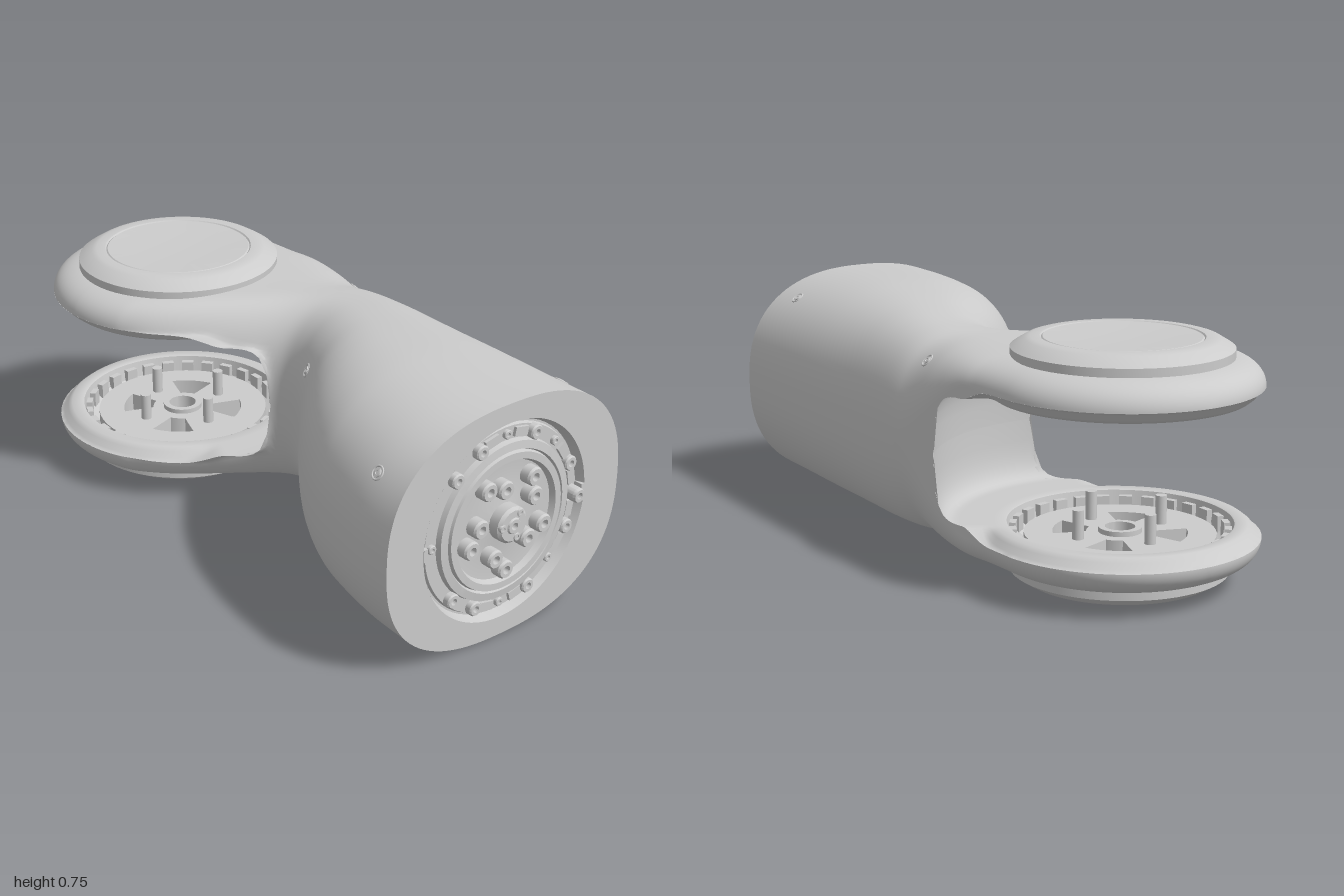
import * as THREE from 'three';
import { mergeGeometries, mergeVertices, toCreasedNormals } from 'three/addons/utils/BufferGeometryUtils.js';

const MID = 0.372, PX = -0.03, PZ = -0.585, R = 0.415, FRONT = 0.965, LIP = 0.19;
const grey = new THREE.MeshStandardMaterial({ color: 0xcccccc });
const shellGrey = new THREE.MeshStandardMaterial({ color: 0xcccccc, side: THREE.DoubleSide });
const { lerp, smoothstep, clamp } = THREE.MathUtils;

// Smooth curve through [z, value] points, z rising
function track(pts) {
  const slope = i => {
    const a = pts[Math.max(i - 1, 0)], b = pts[Math.min(i + 1, pts.length - 1)];
    return (b[1] - a[1]) / (b[0] - a[0]);
  };
  return z => {
    let i = 0;
    while (i < pts.length - 2 && z > pts[i + 1][0]) i++;
    const [z0, v0] = pts[i], [z1, v1] = pts[i + 1], w = z1 - z0;
    const t = clamp((z - z0) / w, 0, 1), t2 = t * t, t3 = t2 * t;
    return v0 * (2 * t3 - 3 * t2 + 1) + v1 * (3 * t2 - 2 * t3)
      + slope(i) * w * (t3 - 2 * t2 + t) + slope(i + 1) * w * (t3 - t2);
  };
}
const leftSide = track([[-0.4, -0.402], [-0.3, -0.335], [-0.2, -0.24], [-0.1, -0.135], [-0.04, -0.08], [0, -0.062],
  [0.05, -0.066], [0.1, -0.085], [0.2, -0.145], [0.3, -0.225], [0.4, -0.295], [0.5, -0.35], [0.6, -0.39], [0.8, -0.435], [FRONT, -0.45]]);
const rightSide = track([[PZ, 0.385], [-0.45, 0.393], [-0.4, 0.401], [-0.3, 0.422], [-0.2, 0.436], [0, 0.441], [FRONT, 0.447]]);
const height = track([[PZ, 0.315], [-0.15, 0.316], [0, 0.325], [0.2, 0.345], [0.4, 0.362], [0.6, 0.372], [FRONT, 0.372]]);
const xMin = z => z < -0.4 ? PX - circleHalf(z) : leftSide(z);
const xMax = z => z < PZ ? PX + circleHalf(z) : rightSide(z);
const circleHalf = z => Math.sqrt(Math.max(R * R - (z - PZ) ** 2, 0));
// How far the section has turned from forearm to prong
const prong = z => 1 - smoothstep(z, -0.42, -0.06);

// Half height of the fork slot at distance d from the pivot, and of its rim
const slot = d => LIP * Math.cbrt(1 - clamp((d - 0.475) / 0.075, 0, 1) ** 3);
const rim = d => slot(d) * (1 + 0.19 * smoothstep(d, 0.375, R) * (1 - smoothstep(d, 0.42, 0.47)));

// Upper outer surface height at x, z
function outerY(x, z) {
  const a = xMin(z), b = xMax(z), p = prong(z), L = 0.226 * p, d = Math.hypot(x - PX, z - PZ);
  const q = z < PZ ? d / R : Math.abs(x - (a + b) / 2) / Math.max((b - a) / 2, 1e-6);
  const f = (1 - Math.min(q, 1) ** lerp(2.45, 7, p)) ** lerp(1 / 2.45, 0.5, p);
  return Math.max(L + (height(z) - L) * f, rim(d));
}

// Surface from a grid of points
function grid(rows, cols, point, flip = false) {
  const pos = [], idx = [], w = cols + 1;
  for (let i = 0; i <= rows; i++) for (let j = 0; j <= cols; j++) pos.push(...point(i, j));
  for (let i = 0; i < rows; i++) for (let j = 0; j < cols; j++) {
    const a = i * w + j, b = a + w, c = b + 1, d = a + 1;
    idx.push(...(flip ? [a, c, b, a, d, c] : [a, b, c, a, c, d]));
  }
  const g = new THREE.BufferGeometry();
  g.setAttribute('position', new THREE.Float32BufferAttribute(pos, 3));
  g.setIndex(idx);
  return g;
}

function add(parent, name, geometry, material = grey, x = 0, y = 0, z = 0) {
  const m = new THREE.Mesh(geometry, material);
  m.name = name;
  m.position.set(x, y, z);
  parent.add(m);
  return m;
}

// Outer skin, upper (s = 1) or lower (s = -1) half
function outerHalf(s) {
  const N = 48, body = 140, end = 24;
  return grid(body + end, N + 2, (i, j) => {
    const z = i <= body ? lerp(FRONT, PZ, i / body) : PZ - R * Math.sin((i - body) / end * Math.PI / 2);
    const edge = j === 0 || j === N + 2;
    const c = Math.cos(clamp(j - 1, 0, N) / N * Math.PI);
    const u = Math.sign(c) * Math.abs(c) ** (2 / lerp(2.45, 3.6, prong(z)));
    const a = xMin(z), b = xMax(z), x = (a + b) / 2 + u * (b - a) / 2;
    return [x, s * (edge ? rim(Math.hypot(x - PX, z - PZ)) : outerY(x, z)), z];
  }, s < 0);
}

// Inner face of a prong: dished recess, flat lip, then the rounded slot wall
function innerHalf(s) {
  const stations = [[0, 0.29], [0.24, 0.29], [0.265, 0.27], [0.30, 0.262], [0.325, 0.245], [0.335, LIP + 0.002], [0.34, LIP], [0.375], [0.39], [0.403], [R]];
  for (let k = 0; k <= 9; k++) stations.push([0.475 + 0.075 * Math.sin(k / 9 * Math.PI / 2)]);
  const N = 200, reach = [];
  for (let j = 0; j <= N; j++) {
    const a = j / N * Math.PI * 2;
    let r = 0.4;
    for (; r < 0.56; r += 0.0005) {
      const x = PX + r * Math.cos(a), z = PZ + r * Math.sin(a);
      if (z < PZ - R || x < xMin(z) || x > xMax(z)) break;
    }
    reach.push(r);
  }
  const g = grid(stations.length - 1, N, (i, j) => {
    const a = j / N * Math.PI * 2, [d, y] = stations[i], r = Math.min(d, reach[j]);
    // The rounded lip follows the open edge only
    const open = 1 - smoothstep(reach[j], 0.42, 0.47);
    return [PX + r * Math.cos(a), s * (y ?? (d >= reach[j] ? rim(r) : lerp(slot(r), rim(r), open))), PZ + r * Math.sin(a)];
  }, s < 0);
  return toCreasedNormals(g, 0.7);
}

function lathe(profile, segments = 64) {
  return toCreasedNormals(new THREE.LatheGeometry(profile.map(p => new THREE.Vector2(...p)), segments), 0.5);
}

// Socket screw or boss facing +z
function boss(parent, name, x, y, z, r, h) {
  const g = lathe([[r, -0.02], [r, h * 0.8], [r * 0.85, h], [r * 0.45, h], [r * 0.4, h * 0.4], [0, h * 0.4]], 16);
  g.rotateX(Math.PI / 2);
  add(parent, name, g, shellGrey, x, y, z);
}

export function createModel() {
  const root = new THREE.Group(), arm = new THREE.Group();
  root.name = 'robotForearm';
  arm.name = 'forearm';
  arm.position.y = MID;
  root.add(arm);

  const skin = mergeVertices(mergeGeometries([outerHalf(1), outerHalf(-1)]), 1e-5);
  skin.computeVertexNormals();
  add(arm, 'forearmShell', skin, shellGrey);

  // Front face around the bore
  const face = grid(1, 96, (i, j) => {
    const t = j / 96 * Math.PI * 2, c = Math.cos(t), s = Math.sin(t), e = 2 / 2.45;
    if (i === 0) return [-0.005 + 0.312 * c, 0.312 * s, FRONT];
    return [-0.0015 + 0.4485 * Math.sign(c) * Math.abs(c) ** e, 0.372 * Math.sign(s) * Math.abs(s) ** e, FRONT];
  });
  face.computeVertexNormals();
  add(arm, 'frontFace', face, shellGrey);

  // Wrist flange set into the bore
  const flange = new THREE.Group();
  flange.name = 'wristFlange';
  flange.position.set(-0.005, 0, 0);
  arm.add(flange);
  const disc = lathe([[0.312, 0.965], [0.300, 0.935], [0.294, 0.935], [0.29, 0.945], [0.25, 0.945], [0.246, 0.962], [0.222, 0.965],
    [0.217, 0.955], [0.213, 0.968], [0.192, 0.968], [0.184, 0.95], [0.09, 0.945], [0.05, 0.955], [0, 0.955]]);
  disc.rotateX(Math.PI / 2);
  add(flange, 'flangeDisc', disc, shellGrey);
  for (const s of [1, -1]) add(flange, 'boreTab', new THREE.BoxGeometry(0.014, 0.04, 0.03), grey, s * 0.305, 0, 0.952);
  for (let k = 0; k < 16; k++) {
    if (k === 7 || k === 9) continue;
    const a = k * Math.PI / 8, small = [2, 4, 8, 12, 14].includes(k);
    boss(flange, 'ringScrew', 0.27 * Math.cos(a), 0.27 * Math.sin(a), 0.945, small ? 0.014 : 0.023, small ? 0.012 : k === 0 ? 0.045 : 0.022);
  }
  // Raised segments of the ring between screws
  for (const k of [0.5, 1.45, 3.5, 4.55, 11.5, 12.6, 14.5, 15.5]) {
    const a = k * Math.PI / 8;
    add(flange, 'ringSegment', new THREE.BoxGeometry(0.028, 0.05, 0.02), grey, 0.27 * Math.cos(a), 0.27 * Math.sin(a), 0.945).rotation.z = a;
  }
  for (const [x, y] of [[-0.085, 0.128], [-0.02, 0.112], [0.09, 0.12], [0.097, 0.056], [-0.11, 0.018], [-0.143, -0.038],
    [0.137, -0.047], [0.077, -0.074], [-0.05, -0.099], [-0.007, -0.147]]) boss(flange, 'discBoss', x, y, 0.95, 0.029, 0.034);
  boss(flange, 'hub', 0, 0, 0.95, 0.057, 0.045);
  boss(flange, 'hubScrew', 0, 0, 0.97, 0.026, 0.03);
  for (const a of [1, 3.05, 5.05]) boss(flange, 'hubPin', 0.042 * Math.cos(a), 0.042 * Math.sin(a), 0.975, 0.013, 0.023);

  // Fork prongs: inner faces and pivot caps
  for (const s of [1, -1]) {
    const side = s > 0 ? 'upper' : 'lower';
    add(arm, side + 'ProngInside', innerHalf(s), shellGrey);
    const cap = lathe([[0.327, 0.28], [0.327, 0.332], [0.315, 0.34], [0.285, 0.358], [0.268, 0.363], [0.24, 0.363], [0.236, 0.359], [0.232, 0.362],
      [0.15, 0.358], [0, 0.354]]);
    add(arm, side + 'PivotCap', cap, shellGrey, PX, 0, PZ).rotation.x = s > 0 ? 0 : Math.PI;
  }

  // Screws in the upper shell
  for (const [x, z] of [[0.365, -0.14], [-0.09, 0.17], [-0.38, 0.84], [0.315, 0.84]]) {
    const e = 0.01;
    const n = new THREE.Vector3((outerY(x - e, z) - outerY(x + e, z)) / (2 * e), 1, (outerY(x, z - e) - outerY(x, z + e)) / (2 * e)).normalize();
    const screw = new THREE.Group();
    screw.name = 'shellScrew';
    screw.position.set(x, outerY(x, z), z);
    screw.quaternion.setFromUnitVectors(new THREE.Vector3(0, 0, 1), n);
    add(screw, 'screwRim', new THREE.TorusGeometry(0.02, 0.003, 8, 24));
    boss(screw, 'screwHead', 0, 0, 0, 0.013, 0.004);
    arm.add(screw);
  }

  // Pivot mount inside the lower prong
  const mount = new THREE.Group();
  mount.name = 'pivotMount';
  mount.position.set(PX, 0, PZ);
  arm.add(mount);
  const plate = new THREE.Shape().absarc(0, 0, 0.285, 0, Math.PI * 2);
  plate.holes.push(new THREE.Path().absarc(0, 0, 0.05, 0, Math.PI * 2, true));
  for (let k = 0; k < 4; k++) {
    const a = Math.PI / 4 + k * Math.PI / 2, b = k * Math.PI / 2;
    plate.holes.push(new THREE.Path().absarc(0, 0, 0.2, a - 0.35, a + 0.35, false).absarc(0, 0, 0.1, a + 0.25, a - 0.25, true));
    add(mount, 'pivotPin', new THREE.CylinderGeometry(0.017, 0.017, 0.13, 20), grey, 0.15 * Math.cos(b), -0.202, 0.15 * Math.sin(b));
  }
  const plateGeo = new THREE.ExtrudeGeometry(plate, { depth: 0.06, bevelEnabled: false, curveSegments: 24 });
  add(mount, 'mountPlate', plateGeo, grey, 0, -0.285, 0).rotation.x = -Math.PI / 2;
  add(mount, 'mountHub', lathe([[0.065, -0.23], [0.065, -0.21], [0.045, -0.21], [0.045, -0.28]], 32), shellGrey);
  for (let k = 0; k < 28; k++) {
    const a = k / 28 * Math.PI * 2;
    add(mount, 'rimNotch', new THREE.BoxGeometry(0.02, 0.05, 0.04), grey, 0.318 * Math.cos(a), -0.23, 0.318 * Math.sin(a)).rotation.y = -a;
  }
  return root;
}
